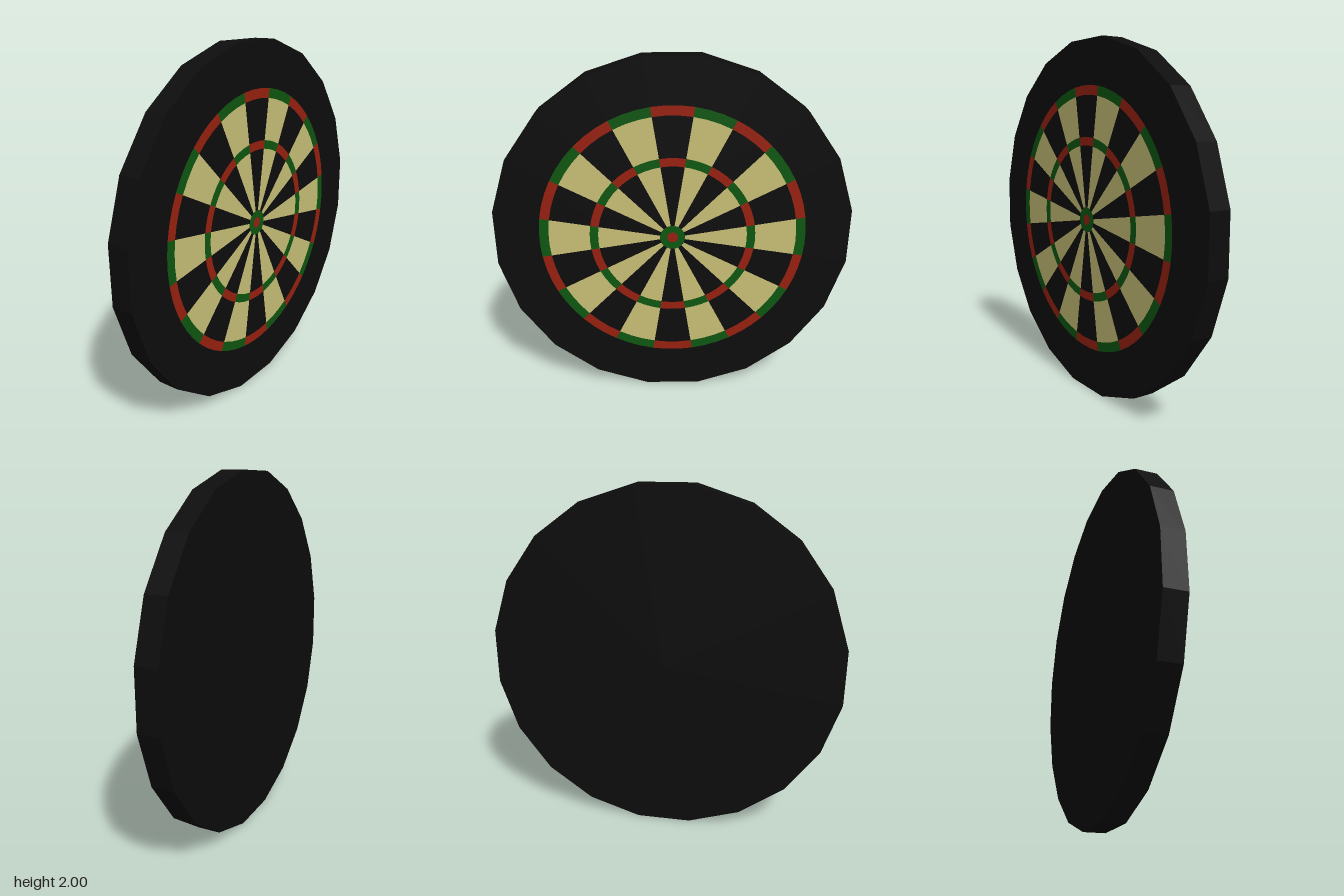
import * as THREE from 'three';
import { mergeGeometries } from 'three/addons/utils/BufferGeometryUtils.js';

const SIDES = 20;
const STEP = (Math.PI * 2) / SIDES;
const DEPTH = 0.125;
const FACE_Z = DEPTH / 2 + 0.001;
// Radius to the corners for a given radius to the flat sides
const corner = (flat) => flat / Math.cos(STEP / 2);

function material(name, color) {
  const m = new THREE.MeshStandardMaterial({ color });
  m.name = name;
  return m;
}

export function createModel() {
  const black = material('black', 0x0d0d0d);
  const cream = material('cream', 0xcbc278);
  const red = material('red', 0x9a2110);
  const green = material('green', 0x0e5811);

  const board = new THREE.Group();
  board.name = 'dartboard';
  board.position.y = 1;

  function add(name, geometry, mat) {
    const mesh = new THREE.Mesh(geometry, mat);
    mesh.name = name;
    board.add(mesh);
  }

  // Thick twenty-sided disc with flat facets
  const disc = new THREE.CylinderGeometry(corner(1), corner(1), DEPTH, SIDES, 1, false, STEP / 2)
    .rotateX(Math.PI / 2)
    .toNonIndexed();
  disc.computeVertexNormals();
  add('body', disc, black);

  // Every second segment of a ring; parity 0 includes the top segment
  function segments(inner, outer, parity) {
    const parts = [];
    for (let i = parity; i < SIDES; i += 2) {
      const start = Math.PI / 2 - STEP / 2 + i * STEP;
      parts.push(new THREE.RingGeometry(corner(inner), corner(outer), 1, 1, start, STEP));
    }
    return mergeGeometries(parts).translate(0, 0, FACE_Z);
  }

  // Scoring bands from the centre outwards: name, inner, outer, even and odd colours
  const bands = [
    ['innerWedges', 0.07, 0.415, black, cream],
    ['tripleRing', 0.415, 0.462, red, green],
    ['outerWedges', 0.462, 0.69, black, cream],
    ['doubleRing', 0.69, 0.743, red, green],
  ];
  for (const [name, inner, outer, even, odd] of bands) {
    add(name + 'Even', segments(inner, outer, 0), even);
    add(name + 'Odd', segments(inner, outer, 1), odd);
  }

  // Bullseye
  const bullRing = new THREE.RingGeometry(corner(0.03), corner(0.07), SIDES, 1, STEP / 2);
  add('outerBull', bullRing.translate(0, 0, FACE_Z), green);
  const bull = new THREE.CircleGeometry(corner(0.03), SIDES, STEP / 2);
  add('innerBull', bull.translate(0, 0, FACE_Z), red);

  const model = new THREE.Group();
  model.name = 'model';
  model.add(board);
  return model;
}
